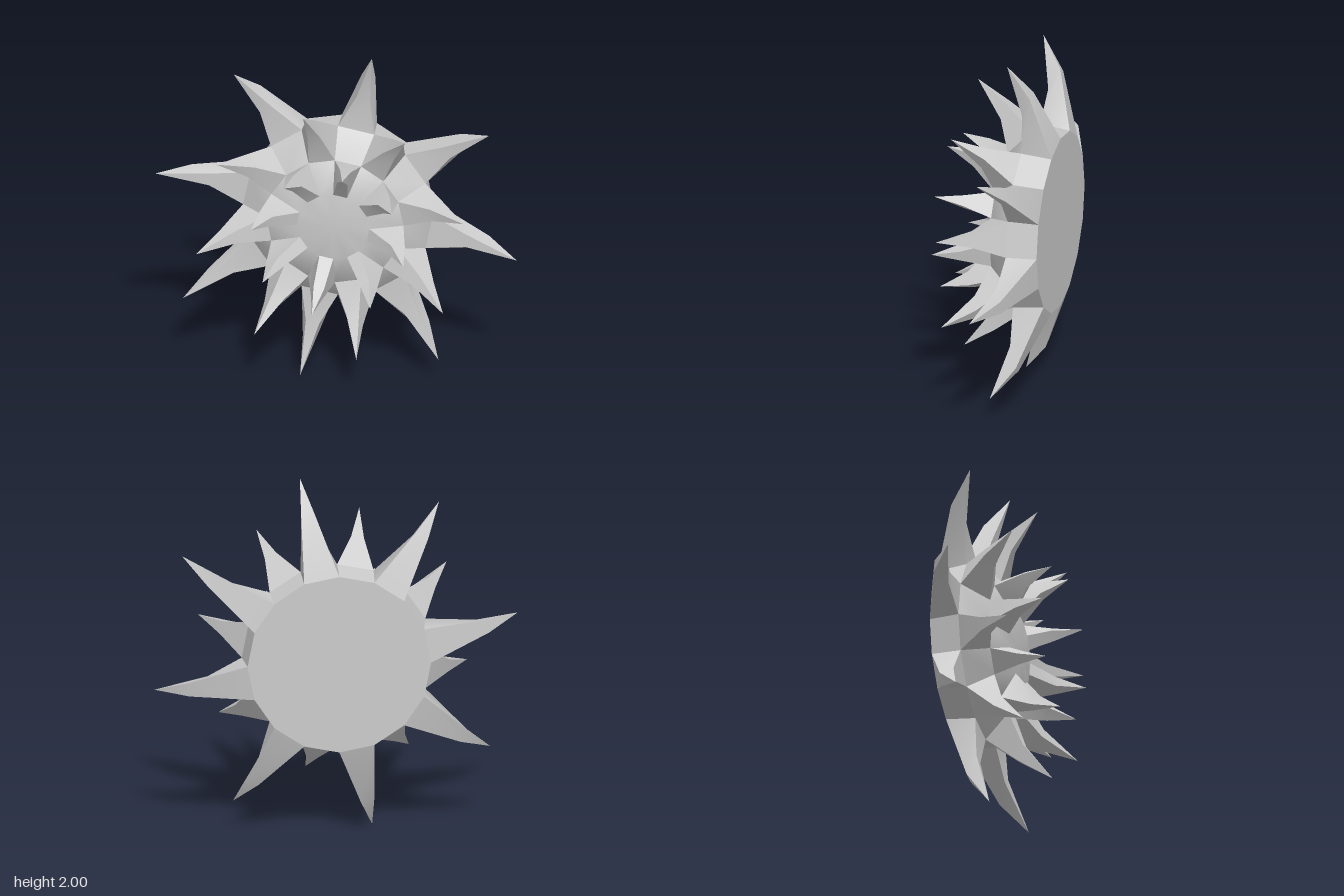
import * as THREE from 'three';
import { toCreasedNormals } from 'three/addons/utils/BufferGeometryUtils.js';

const SIDES = 16;
const STEP = (Math.PI * 2) / SIDES;

// Body rings from back to front: [radius, z]
const RINGS = [[0.505, -0.31], [0.525, -0.14], [0.38, -0.01], [0.2, 0.055]];

// One tier of curved spikes per band; mid points and tip are [radius, z]
const TIERS = [
  { name: 'outerSpikes', odd: 1, midBack: [0.84, -0.19], midFront: [0.72, -0.14], half: 0.038, tip: [1.02, -0.06] },
  { name: 'middleSpikes', odd: 0, midBack: [0.64, 0.02], midFront: [0.55, 0.05], half: 0.036, tip: [0.755, 0.2] },
  { name: 'innerSpikes', odd: 1, midBack: [0.412, 0.15], midFront: [0.335, 0.16], half: 0.03, tip: [0.43, 0.31] },
];

// Point at a radius and angle, moved sideways along the tangent
function polar([r, z], angle, side = 0) {
  const c = Math.cos(angle), s = Math.sin(angle);
  return [r * c - side * s, r * s + side * c, z];
}

function quad(out, a, b, c, d) {
  out.push(...a, ...b, ...c, ...a, ...c, ...d);
}

function makeMesh(name, points) {
  const geometry = new THREE.BufferGeometry();
  geometry.setAttribute('position', new THREE.Float32BufferAttribute(points, 3));
  const mesh = new THREE.Mesh(
    toCreasedNormals(geometry, 0.9),
    new THREE.MeshStandardMaterial({ color: 0xcccccc })
  );
  mesh.name = name;
  return mesh;
}

// Corners of one sector of a band, counter-clockwise from outside
function sector(band, i) {
  const back = RINGS[band], front = RINGS[band + 1];
  const a0 = i * STEP, a1 = (i + 1) * STEP;
  return [polar(back, a0), polar(back, a1), polar(front, a1), polar(front, a0)];
}

// Two-stage spike: base quad, narrower middle section, point
function addSpike(out, base, tier, angle) {
  const { midBack, midFront, half, tip } = tier;
  const mid = [
    polar(midBack, angle, -half), polar(midBack, angle, half),
    polar(midFront, angle, half), polar(midFront, angle, -half),
  ];
  const point = polar(tip, angle);
  for (let k = 0; k < 4; k++) {
    const n = (k + 1) % 4;
    quad(out, base[k], base[n], mid[n], mid[k]);
    out.push(...mid[k], ...mid[n], ...point);
  }
}

export function createModel() {
  const group = new THREE.Group();
  const body = [];
  const burst = new THREE.Group();
  burst.name = 'spikedBurst';
  burst.position.y = 1;
  group.add(burst);

  // Every other sector carries a spike, the rest stay as body wall
  TIERS.forEach((tier, band) => {
    const spikes = [];
    for (let i = 0; i < SIDES; i++) {
      const base = sector(band, i);
      if (i % 2 === tier.odd) addSpike(spikes, base, tier, (i + 0.5) * STEP);
      else quad(body, ...base);
    }
    burst.add(makeMesh(tier.name, spikes));
  });

  // Flat back and front centre disc
  const first = RINGS[0], last = RINGS[RINGS.length - 1];
  for (let i = 0; i < SIDES; i++) {
    const a0 = i * STEP, a1 = (i + 1) * STEP;
    body.push(0, 0, first[1], ...polar(first, a1), ...polar(first, a0));
    body.push(0, 0, last[1], ...polar(last, a0), ...polar(last, a1));
  }
  burst.add(makeMesh('body', body));
  return group;
}
